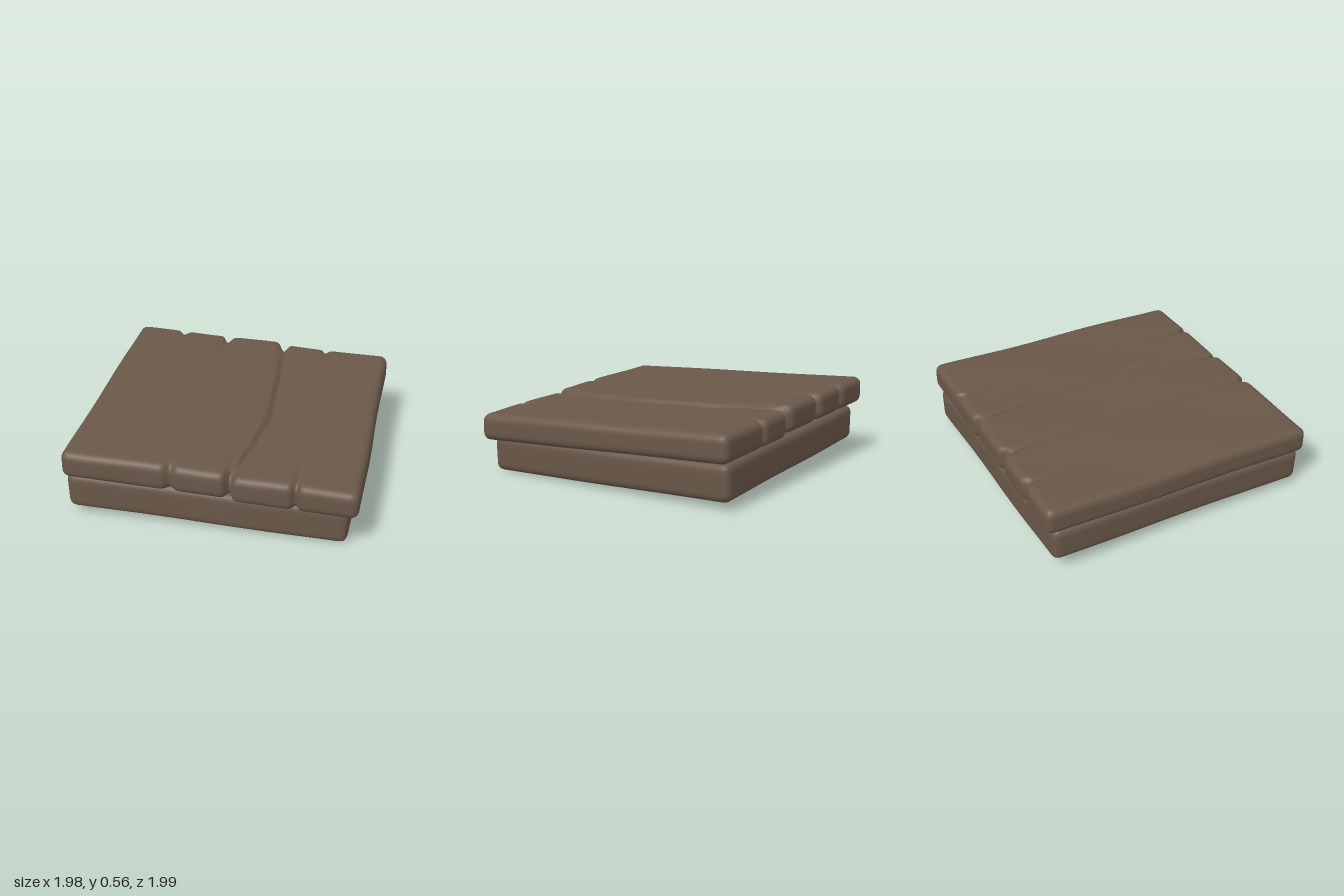
import * as THREE from 'three';
import { mergeVertices } from 'three/addons/utils/BufferGeometryUtils.js';

// Finely divided box with rounded edges, bent by a rule, with smooth normals.
function softBlock(w, h, d, r, seg, rule) {
  let geo = new THREE.BoxGeometry(w, h, d, ...seg);
  geo.deleteAttribute('uv');
  geo.deleteAttribute('normal');
  geo = mergeVertices(geo, 1e-5);
  const pos = geo.attributes.position;
  const inner = new THREE.Vector3(w / 2 - r, h / 2 - r, d / 2 - r);
  const low = inner.clone().negate();
  const p = new THREE.Vector3();
  const core = new THREE.Vector3();
  for (let i = 0; i < pos.count; i++) {
    p.fromBufferAttribute(pos, i);
    core.copy(p).clamp(low, inner);
    p.sub(core).setLength(r).add(core);
    rule(p);
    pos.setXYZ(i, p.x, p.y, p.z);
  }
  geo.computeVertexNormals();
  return geo;
}

const bump = (v, width) => Math.exp(-((v / width) ** 2));
const smooth = THREE.MathUtils.smoothstep;

// Gaps between the boards: x, end (1 front, -1 back), length, notch, width
const gaps = [
  [-0.25, 1, 0.07, 0.035, 0.03],
  [0.14, 1, 0.16, 0.055, 0.025],
  [0.575, 1, 0.17, 0.04, 0.022],
  [-0.62, -1, 0.10, 0.035, 0.03],
  [-0.26, -1, 0.14, 0.06, 0.03],
  [0.18, -1, 0.18, 0.06, 0.03],
  [0.51, -1, 0.08, 0.035, 0.022],
];

// Long wandering crack, given as x for each z
const crack = [[-1, 0.18], [-0.7, 0.2], [-0.35, 0.23], [0.15, 0.26], [0.5, 0.23], [0.75, 0.185], [1, 0.14]];
function crackX(z) {
  for (let i = 1; i < crack.length; i++) {
    const [z0, x0] = crack[i - 1], [z1, x1] = crack[i];
    if (z <= z1 || i === crack.length - 1) {
      return THREE.MathUtils.lerp(x0, x1, smooth(z, z0, z1));
    }
  }
}

function bendTop(p) {
  const { x, y, z } = p;
  const up = smooth(y, -0.02, 0.08);
  const down = smooth(-y, 0, 0.09);
  let dy = 0, dz = 0;

  // notches and creases at the board ends
  for (const [gx, end, len, notch, width] of gaps) {
    const fromEnd = 0.99 - z * end;
    const shape = bump(x - gx, width);
    dz -= end * notch * shape * bump(fromEnd, 0.09);
    dy -= up * notch * 0.75 * shape * Math.exp(-Math.max(fromEnd, 0) / len);
    dy += down * notch * 0.4 * shape * bump(fromEnd, 0.12);
  }

  // crack and the small step across it
  const off = x - crackX(z);
  dy -= up * 0.013 * bump(off - 0.012, 0.022);
  dy += 0.009 * (1 - 2 * smooth(off, -0.02, 0.02));

  // shallow worn hollows
  dy -= up * 0.012 * bump(x - 0.31, 0.1) * bump(z + 0.42, 0.12);
  dy -= up * 0.005 * bump(x + 0.23, 0.05) * bump(z - 0.1, 0.5);
  dy += up * 0.003 * Math.sin(x * 7 + 1) * Math.sin(z * 5);

  // uneven outline and overall tilt
  p.x += 0.007 * z + 0.004 * Math.sin(z * 5) * Math.abs(x);
  p.z += dz + (z < 0 ? 0.017 : 0.007) * x;
  p.y += dy + 0.401 - 0.027 * x - 0.043 * z;
}

function bendBase(p) {
  const { x, y, z } = p;
  p.x += -0.01 - 0.006 * z + 0.005 * Math.sin(z * 4 + 1) * Math.abs(x);
  p.z += -0.005 + 0.004 * Math.sin(x * 5) * Math.abs(z);
  p.x *= 1 + 0.04 * y;
  p.y += 0.183 - 0.028 * x - 0.027 * z;
}

export function createModel() {
  const group = new THREE.Group();
  const wood = new THREE.MeshStandardMaterial({ color: 0x6a5849 });
  wood.name = 'brown wood';

  const parts = [
    ['plankTop', softBlock(1.965, 0.19, 1.965, 0.055, [150, 12, 110], bendTop)],
    ['baseBlock', softBlock(1.875, 0.25, 1.885, 0.05, [70, 12, 70], bendBase)],
  ];
  for (const [name, geo] of parts) {
    const mesh = new THREE.Mesh(geo, wood);
    mesh.name = name;
    group.add(mesh);
  }
  return group;
}
